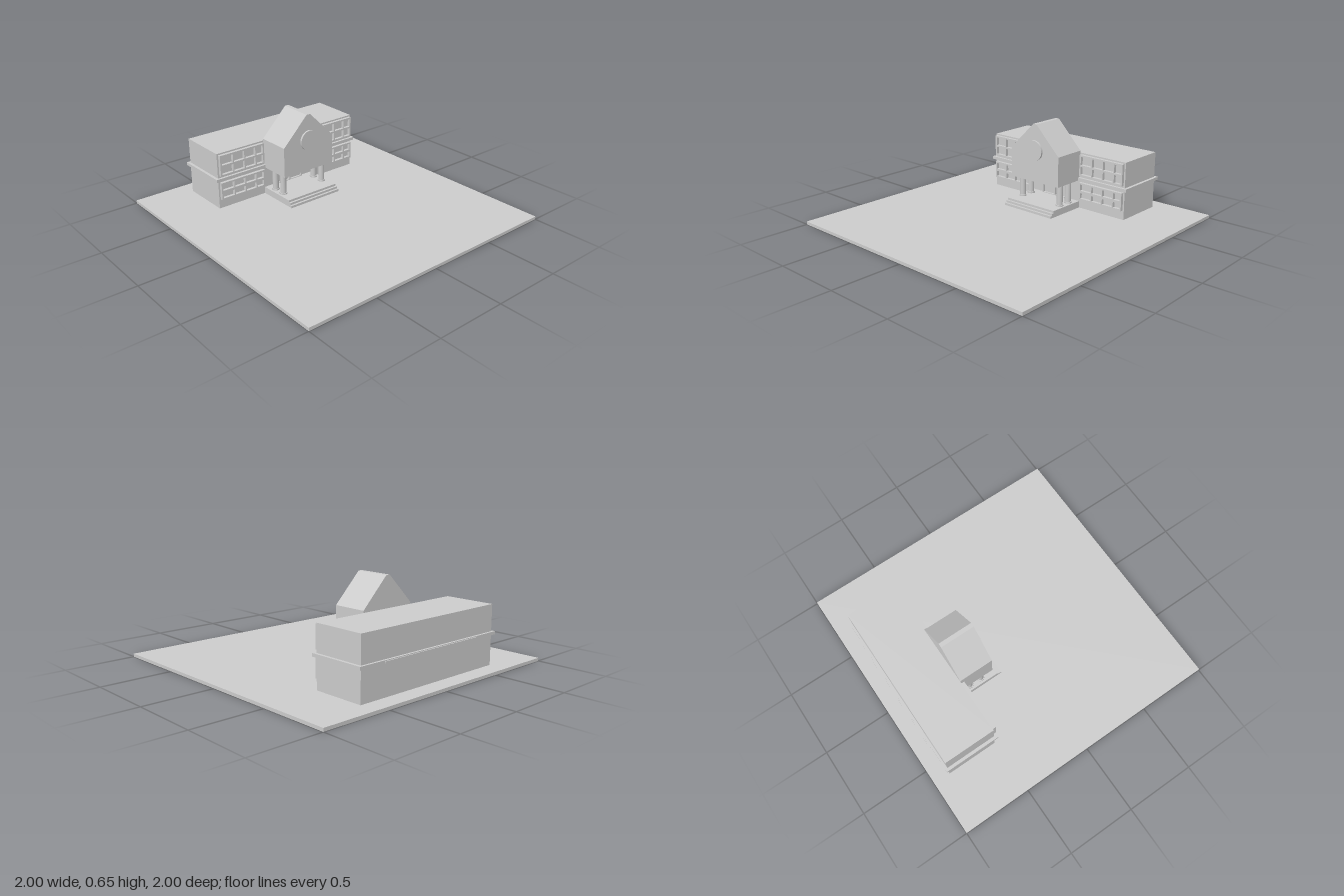
import * as THREE from 'three';

const material = new THREE.MeshStandardMaterial({ color: 0xcccccc, flatShading: true });
const smooth = new THREE.MeshStandardMaterial({ color: 0xcccccc });

function add(parent, name, geometry, x = 0, y = 0, z = 0, mat = material) {
  const mesh = new THREE.Mesh(geometry, mat);
  mesh.name = name;
  mesh.position.set(x, y, z);
  parent.add(mesh);
  return mesh;
}

// Box given by its lower and upper corners
function box(parent, name, [x0, y0, z0], [x1, y1, z1]) {
  return add(parent, name, new THREE.BoxGeometry(x1 - x0, y1 - y0, z1 - z0),
    (x0 + x1) / 2, (y0 + y1) / 2, (z0 + z1) / 2);
}

function polygon(points, Type = THREE.Shape) {
  return new Type(points.map(([x, y]) => new THREE.Vector2(x, y)));
}

function rect(x0, y0, x1, y1, Type) {
  return polygon([[x0, y0], [x1, y0], [x1, y1], [x0, y1]], Type);
}

// Projecting frame with a grid of openings; columns and rows are [start, end] pairs
function windowFrame(parent, name, x, y, width, height, columns, rows) {
  const shape = rect(0, 0, width, height);
  for (const [a, b] of columns)
    for (const [c, d] of rows) shape.holes.push(rect(a, c, b, d, THREE.Path));
  add(parent, name, new THREE.ExtrudeGeometry(shape, { depth: 0.025, bevelEnabled: false }), x, y, -0.507);
}

export function createModel() {
  const model = new THREE.Group();
  model.name = 'schoolBuilding';

  // Ground and main block with its ledge
  box(model, 'ground', [-1, 0, -1], [1, 0.022, 1]);
  box(model, 'mainBlock', [-0.607, 0.022, -0.877], [0.607, 0.438, -0.505]);
  box(model, 'ledge', [-0.628, 0.232, -0.893], [0.628, 0.254, -0.487]);
  box(model, 'rearLedgeStrip', [-0.43, 0.237, -0.9], [0.43, 0.249, -0.88]);

  // Windows on both wings, two storeys each
  const columns = [[0.012, 0.104], [0.112, 0.198], [0.206, 0.292], [0.3, 0.357]];
  for (const x of [-0.595, 0.228]) {
    windowFrame(model, 'upperWindows', x, 0.27, 0.368, 0.157, columns, [[0.012, 0.07], [0.083, 0.145]]);
    windowFrame(model, 'lowerWindows', x, 0.09, 0.368, 0.13, columns, [[0.012, 0.053], [0.071, 0.118]]);
  }

  // Entrance steps
  box(model, 'porchFloor', [-0.217, 0.022, -0.506], [0.217, 0.071, -0.214]);
  box(model, 'middleStep', [-0.217, 0.022, -0.22], [0.217, 0.055, -0.198]);
  box(model, 'lowerStep', [-0.217, 0.022, -0.2], [0.217, 0.039, -0.182]);

  // Columns with round bases
  for (const x of [-0.175, 0.175]) {
    for (const z of [-0.332, -0.425]) {
      const column = new THREE.Group();
      column.name = 'column';
      column.position.set(x, 0.071, z);
      model.add(column);
      add(column, 'columnShaft', new THREE.CylinderGeometry(0.022, 0.022, 0.163, 20), 0, 0.0815, 0, smooth);
      add(column, 'columnBase', new THREE.CylinderGeometry(0.028, 0.028, 0.01, 20), 0, 0.005, 0, smooth);
    }
  }

  // Double door
  const doorFrame = rect(-0.117, 0.071, 0.117, 0.216);
  for (const x of [-0.108, 0.004]) doorFrame.holes.push(rect(x, 0.076, x + 0.104, 0.206, THREE.Path));
  add(model, 'doorFrame', new THREE.ExtrudeGeometry(doorFrame, { depth: 0.018, bevelEnabled: false }), 0, 0, -0.507);

  // Gabled block carried by the columns
  const gable = polygon([[-0.217, 0.232], [0.217, 0.232], [0.217, 0.452],
    [0.015, 0.655], [-0.015, 0.655], [-0.217, 0.452]]);
  add(model, 'gabledPortico', new THREE.ExtrudeGeometry(gable, { depth: 0.25, bevelEnabled: false }), 0, 0, -0.505);

  // Round disc on the gable
  const disc = add(model, 'clockFace', new THREE.CylinderGeometry(0.074, 0.074, 0.014, 40), 0, 0.464, -0.248, smooth);
  disc.rotation.x = Math.PI / 2;
  return model;
}
